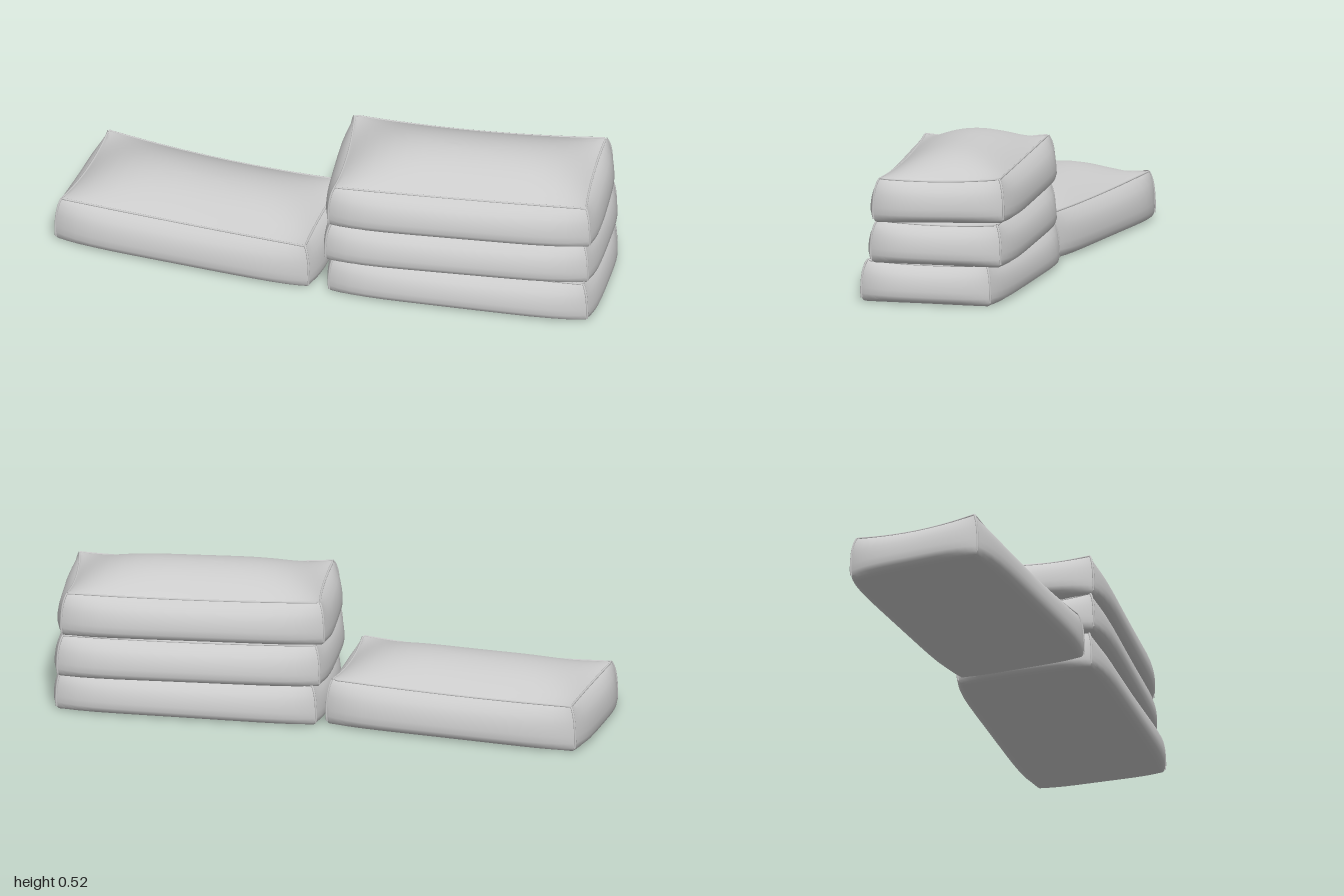
import * as THREE from 'three';
import { toCreasedNormals } from 'three/addons/utils/BufferGeometryUtils.js';

const SEG = 16; // segments per side of a bag
const BX = 0.045; // bulge of the short ends

// Side profile from base to top seam: [height fraction, bulge fraction]
const SIDE = [[0, 0.3], [0.03, 0.65], [0.09, 0.9], [0.2, 1], [0.35, 0.99], [0.5, 0.93],
  [0.65, 0.82], [0.78, 0.65], [0.9, 0.38], [0.96, 0.18], [1, 0]];

// Points around a unit square, closer together near the corners
function squarePoints() {
  const pts = [];
  for (let side = 0; side < 4; side++) {
    for (let i = 0; i < SEG; i++) {
      const s = Math.sin((i / SEG - 0.5) * Math.PI);
      pts.push([[s, 1], [1, -s], [-s, -1], [-1, s]][side]);
    }
  }
  return pts;
}

// corners: front left, front right, back right, back left of the seam as [x, z]
function createBag(name, { corners, base, seam, crown, bz, tilt = 0 }) {
  const [fl, fr, br, bl] = corners;
  const ring = squarePoints();
  const n = ring.length;

  const place = (u, v, y, k) => {
    const mix = (i) => ((fl[i] * (1 - u) + fr[i] * (1 + u)) * (1 + v)
      + (bl[i] * (1 - u) + br[i] * (1 + u)) * (1 - v)) / 4;
    // sides swell at mid span, seams pull in slightly
    const pull = 0.012 * (1 - k);
    const x = mix(0) + u * (k * BX * (1 - 0.6 * v ** 4) - pull * (1 - v * v));
    const z = mix(1) + v * (k * bz * (1 - 0.65 * u ** 6) - pull * (1 - u * u));
    return new THREE.Vector3(x, y - tilt * v, z);
  };
  const sideRow = ([t, k]) => ring.map(([u, v]) =>
    place(u, v, base + t * (seam - base + 0.012 * u * u * v * v), k));
  const topRow = (s) => ring.map(([a, b]) => {
    const u = a * s, v = b * s;
    return place(u, v, seam + 0.012 * u * u * v * v + crown * (1 - u ** 4) * (1 - v * v), 0);
  });

  const sides = SIDE.map(sideRow);
  const rows = [
    ...[0, 0.5, 0.95].map((s) => ring.map(([u, v]) => place(u * s, v * s, base, 0.3 * s))),
    ...sides,
    ...[0.97, 0.92, 0.84, 0.74, 0.62, 0.5, 0.37, 0.24, 0.12, 0].map(topRow),
  ];

  const index = [];
  for (let r = 0; r < rows.length - 1; r++) {
    for (let j = 0; j < n; j++) {
      const a = r * n + j, b = r * n + (j + 1) % n;
      if (r > 0) index.push(a, b, a + n);
      if (r < rows.length - 2) index.push(b, b + n, a + n);
    }
  }
  const geometry = new THREE.BufferGeometry().setFromPoints(rows.flat());
  geometry.setIndex(index);

  const material = new THREE.MeshStandardMaterial({ color: 0xcccccc });
  const bag = new THREE.Group();
  bag.name = name;
  const add = (part, geo) => {
    const mesh = new THREE.Mesh(geo, material);
    mesh.name = part;
    bag.add(mesh);
  };
  add('sackBody', toCreasedNormals(geometry, 0.75));

  // Thin stitched ridge around the top and down each corner
  const topEdge = new THREE.CatmullRomCurve3(sides[sides.length - 1], true);
  add('topSeam', new THREE.TubeGeometry(topEdge, 128, 0.004, 6, true));
  for (let c = 0; c < 4; c++) {
    const edge = new THREE.CatmullRomCurve3(sides.slice(2).map((row) => row[c * SEG]));
    add('cornerSeam', new THREE.TubeGeometry(edge, 16, 0.004, 6));
  }
  return bag;
}

export function createModel() {
  const model = new THREE.Group();
  model.name = 'sandbags';
  model.add(
    // Single bag lying beside the stack
    createBag('singleBag', {
      corners: [[-0.975, 0.165], [-0.06, 0.26], [-0.025, -0.18], [-0.91, -0.295]],
      base: 0.005, seam: 0.16, crown: 0.075, bz: 0.05,
    }),
    // Stack of three, slightly askew
    createBag('bottomBag', {
      corners: [[0.05, 0.265], [0.955, 0.24], [0.95, -0.2], [0.045, -0.2]],
      base: 0.005, seam: 0.14, crown: 0.03, bz: 0.05,
    }),
    createBag('middleBag', {
      corners: [[0.04, 0.275], [0.95, 0.205], [0.94, -0.235], [0.035, -0.18]],
      base: 0.145, seam: 0.285, crown: 0.03, bz: 0.055,
    }),
    createBag('topBag', {
      corners: [[0.05, 0.27], [0.955, 0.195], [0.925, -0.24], [0.02, -0.175]],
      base: 0.298, seam: 0.443, crown: 0.08, bz: 0.055, tilt: 0.006,
    }),
  );
  return model;
}
